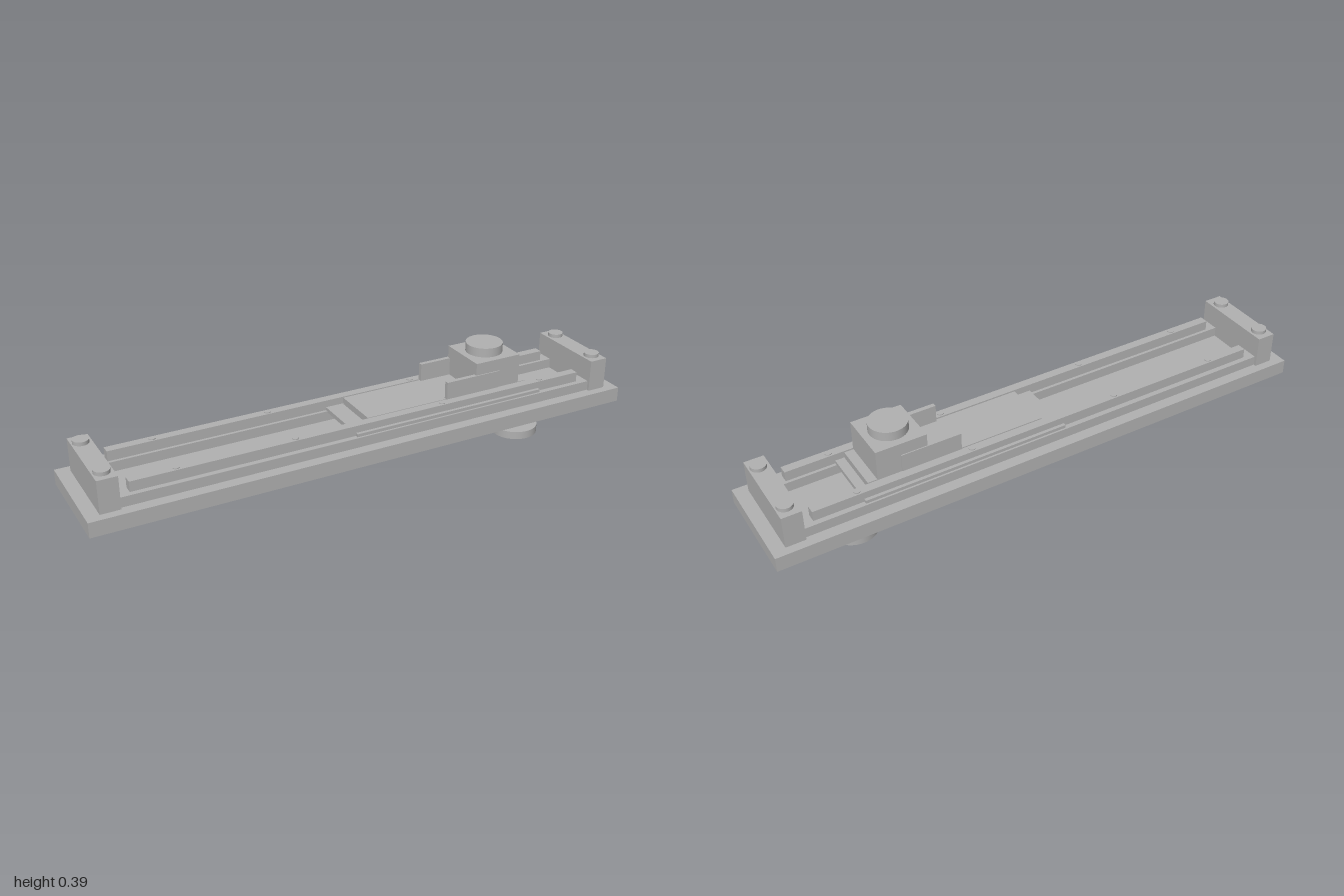
import * as THREE from 'three';

export function createModel() {
  const model = new THREE.Group();
  model.name = 'linearSlide';
  const grey = new THREE.MeshStandardMaterial({ color: 0xb0b0b0 });
  grey.name = 'plain grey';

  function add(name, geometry, x, y, z) {
    const mesh = new THREE.Mesh(geometry, grey);
    mesh.name = name;
    mesh.position.set(x, y, z);
    model.add(mesh);
  }
  // Box given by its limits on each axis
  function box(name, x0, x1, y0, y1, z0, z1) {
    add(name, new THREE.BoxGeometry(x1 - x0, y1 - y0, z1 - z0),
      (x0 + x1) / 2, (y0 + y1) / 2, (z0 + z1) / 2);
  }
  // Upright disc from y0 to y1
  function disc(name, x, z, r, y0, y1) {
    add(name, new THREE.CylinderGeometry(r, r, y1 - y0, 48), x, (y0 + y1) / 2, z);
  }

  box('base', -1, 1, 0.122, 0.175, -0.185, 0.185);

  // End blocks with bolt heads
  for (const s of [-1, 1]) {
    box('endBlock', s * 0.92 - 0.034, s * 0.92 + 0.034, 0.175, 0.291, -0.155, 0.155);
    for (const t of [-1, 1]) disc('boltHead', s * 0.922, t * 0.108, 0.027, 0.291, 0.304);
  }

  // Stepped guide rails with small screws
  for (const s of [-1, 1]) {
    const rail = (name, x, y0, y1, a, b) =>
      box(name, -x, x, y0, y1, Math.min(s * a, s * b), Math.max(s * a, s * b));
    rail('railFoot', 0.887, 0.175, 0.21, 0.083, 0.145);
    rail('railTop', 0.847, 0.21, 0.246, 0.094, 0.126);
    for (const x of [-0.69, -0.28, 0.28, 0.69]) disc('railScrew', x, s * 0.11, 0.011, 0.24, 0.249);
  }

  // Carriage: wide slab, raised deck, tower and knob
  box('carriageSlab', -0.065, 0.675, 0.205, 0.221, -0.138, 0.138);
  box('carriageDeck', 0, 0.643, 0.221, 0.245, -0.089, 0.089);
  box('tower', 0.43, 0.61, 0.245, 0.353, -0.092, 0.092);
  disc('knob', 0.52, 0, 0.066, 0.353, 0.386);
  for (const s of [-1, 1]) {
    box('sidePlate', 0.31, 0.525, 0.245, 0.309, s * 0.088 - 0.008, s * 0.088 + 0.008);
  }

  // Linkage under the base
  disc('innerPivot', -0.002, 0, 0.048, 0.066, 0.1);
  box('linkBar', 0, 0.53, 0.082, 0.102, -0.033, 0.033);
  for (const s of [-1, 1]) {
    box('linkRib', 0.107, 0.52, 0.075, 0.113, s * 0.038 - 0.006, s * 0.038 + 0.006);
  }
  disc('outerPivot', 0.52, 0, 0.05, 0.053, 0.09);
  box('crankArm', 0.52, 0.7, 0.056, 0.083, -0.043, 0.043);
  disc('crankPin', 0.672, 0, 0.027, 0.028, 0.058);
  disc('crankDisc', 0.674, 0, 0.084, 0, 0.029);

  return model;
}
